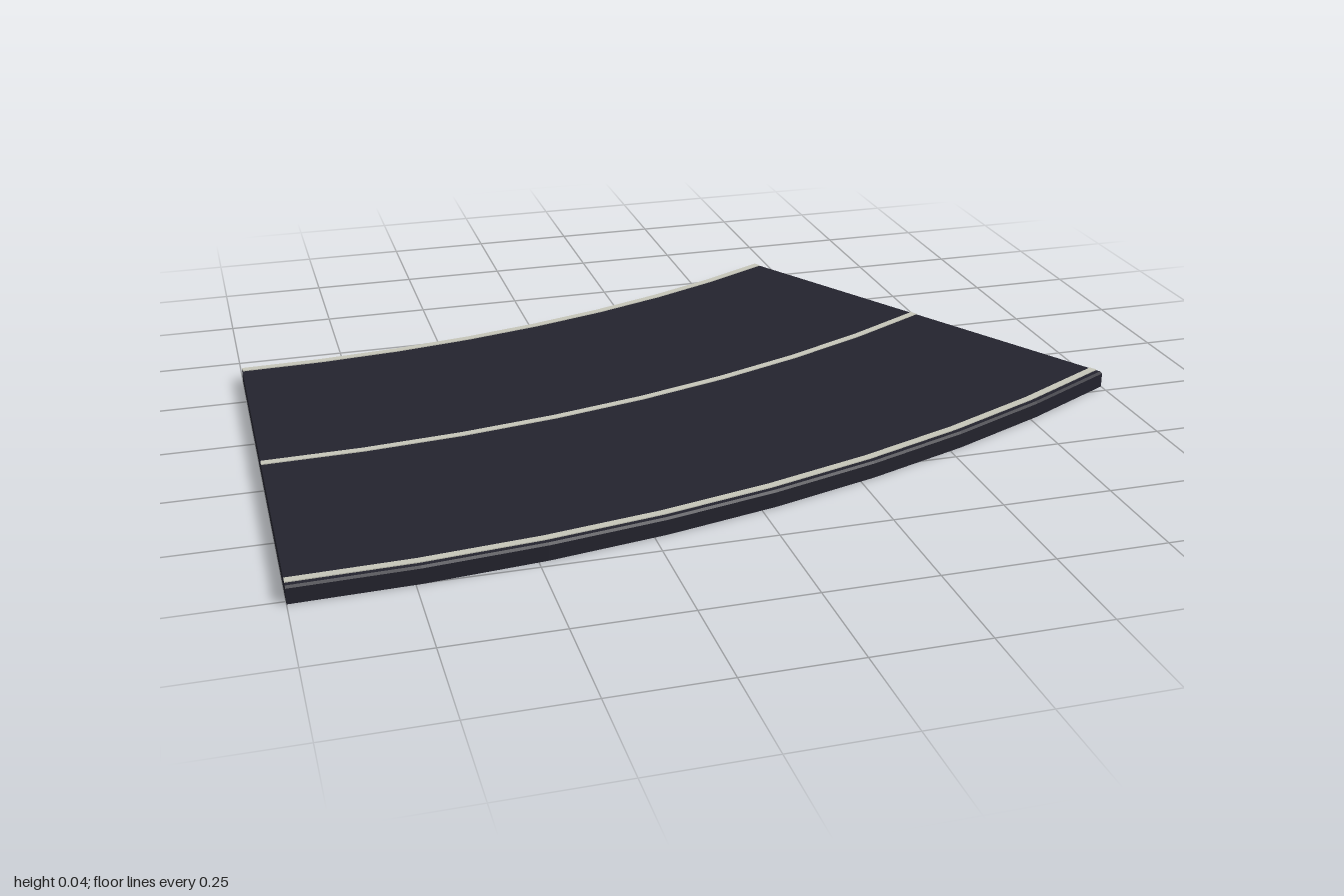
import * as THREE from 'three';
import { mergeGeometries } from 'three/addons/utils/BufferGeometryUtils.js';

const ARC = Math.PI / 6;
const SEGMENTS = 8;
const INNER = 2.86, OUTER = 4;
const TOP = 0.038;

// Sweeps a closed [radius, height] section round the bend and caps both ends.
function sweep(section) {
  const points = section.map(([r, y]) => new THREE.Vector2(r, y));
  const wall = new THREE.LatheGeometry([...points, points[0]], SEGMENTS, 0, ARC);
  const startCap = new THREE.ShapeGeometry(new THREE.Shape(points));
  startCap.rotateY(-Math.PI / 2);
  const mirrored = points.map((p) => new THREE.Vector2(-p.x, p.y));
  const endCap = new THREE.ShapeGeometry(new THREE.Shape(mirrored));
  endCap.rotateY(Math.PI / 2 + ARC);
  const geometry = mergeGeometries([wall, startCap, endCap].map((g) => g.toNonIndexed()));
  geometry.computeVertexNormals();
  return geometry;
}

export function createModel() {
  const asphalt = new THREE.MeshStandardMaterial({ color: 0x23232d });
  asphalt.name = 'asphalt';
  const paint = new THREE.MeshStandardMaterial({ color: 0xc4c4b8 });
  paint.name = 'road paint';

  const road = new THREE.Group();
  road.name = 'curvedRoad';

  const add = (name, section, material) => {
    const mesh = new THREE.Mesh(sweep(section), material);
    mesh.name = name;
    road.add(mesh);
  };

  // Road slab with slightly eased top edges
  add('roadSlab', [
    [INNER, 0], [OUTER, 0], [OUTER, TOP - 0.004], [OUTER - 0.006, TOP],
    [INNER + 0.006, TOP], [INNER, TOP - 0.004],
  ], asphalt);

  // Painted lines along both edges and the middle
  const lines = { innerEdgeLine: 2.879, centreLine: 3.428, outerEdgeLine: 3.974 };
  for (const [name, r] of Object.entries(lines)) {
    const a = r - 0.009, b = r + 0.009;
    add(name, [[a, TOP - 0.001], [b, TOP - 0.001], [b, 0.04], [a, 0.04]], paint);
  }

  // Move the centre of the bend so that the road is centred
  road.position.set(-1, 0, -(OUTER + INNER * Math.cos(ARC)) / 2);

  const model = new THREE.Group();
  model.name = 'roadBend';
  model.add(road);
  return model;
}
